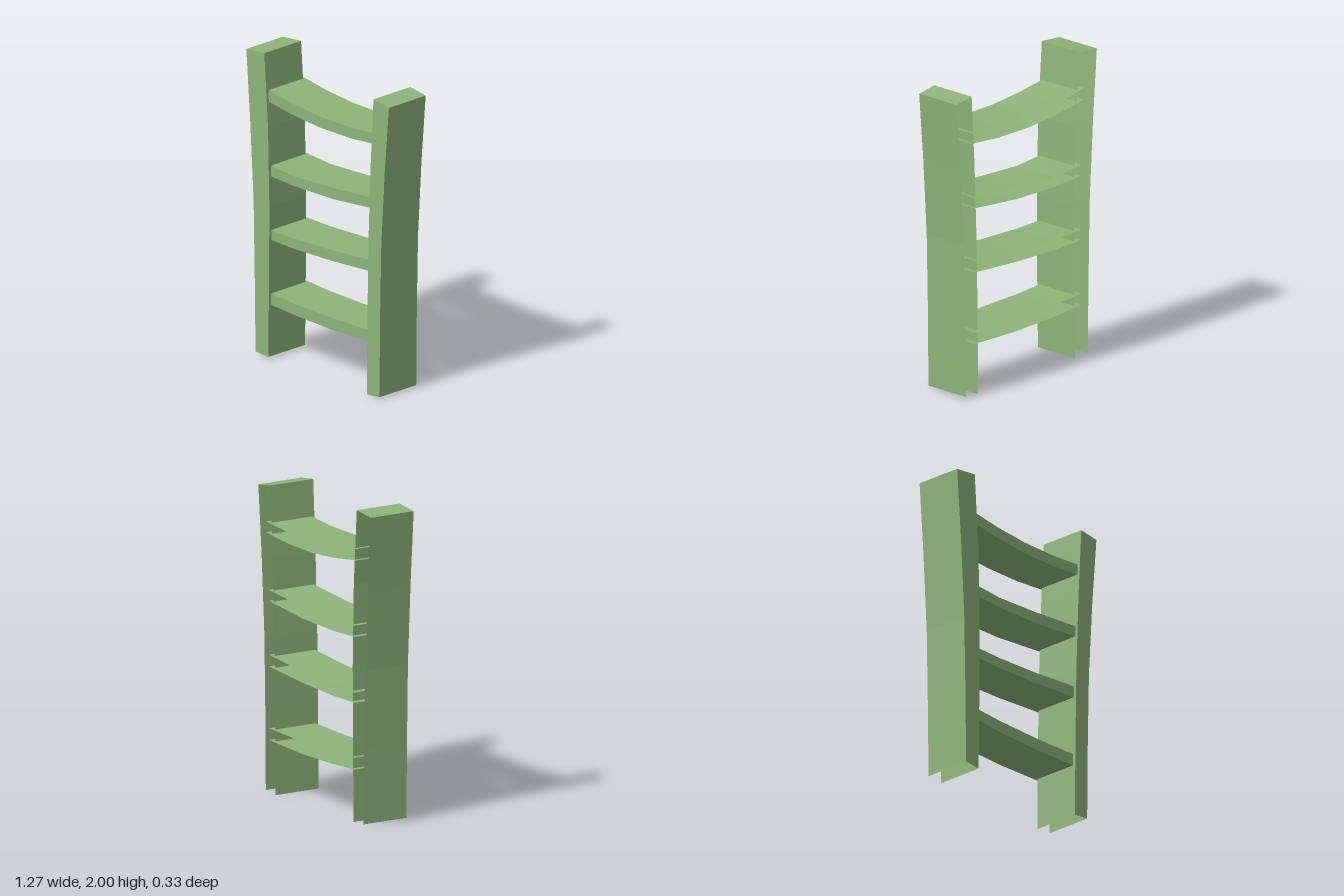
import * as THREE from 'three';

const material = new THREE.MeshStandardMaterial({
  color: 0x8fb47a, flatShading: true, side: THREE.DoubleSide,
});

// Joins equal open cross-sections with quads; optionally closes the last one.
function loft(name, sections, capEnd = false) {
  const n = sections[0].length;
  const index = [];
  for (let i = 0; i < sections.length - 1; i++) {
    for (let j = 0; j < n - 1; j++) {
      const a = i * n + j, b = a + 1, c = b + n, d = a + n;
      index.push(a, b, c, a, c, d);
    }
  }
  if (capEnd) {
    const s = (sections.length - 1) * n;
    index.push(s, s + 1, s + 2, s, s + 2, s + 3);
  }
  const indexed = new THREE.BufferGeometry();
  indexed.setAttribute('position', new THREE.Float32BufferAttribute(sections.flat(2), 3));
  indexed.setIndex(index);
  const geometry = indexed.toNonIndexed();
  geometry.computeVertexNormals();
  const mesh = new THREE.Mesh(geometry, material);
  mesh.name = name;
  return mesh;
}

// Post: front, two sides and a top; open at the back and underneath.
// Rows run upward as [x of -x edge, y, x of +x edge, y].
function post(name, rows) {
  const back = -0.15, front = 0.165;
  return loft(name, rows.map(([x0, y0, x1, y1]) => [
    [x0, y0, back], [x0, y0, front], [x1, y1, front], [x1, y1, back],
  ]), true);
}

// Rung: top, front and underside; open at the back and at both ends.
// Rows run along x as [x, top y, bottom y].
function rung(name, rows) {
  const back = -0.167, front = 0.147;
  return loft(name, rows.map(([x, top, bottom]) => [
    [x, top, back], [x, top, front], [x, bottom, front], [x, bottom, back],
  ]));
}

export function createModel() {
  const group = new THREE.Group();
  group.name = 'ladder';

  // Side posts, flaring outward and widening toward the top
  group.add(post('rightPost', [
    [-0.553, 0.02, -0.44, 0.012],
    [-0.56, 0.5, -0.433, 0.5],
    [-0.57, 1.0, -0.43, 1.0],
    [-0.6, 1.52, -0.442, 1.52],
    [-0.635, 1.985, -0.475, 2.0],
  ]));
  group.add(post('leftPost', [
    [0.437, 0.0, 0.548, 0.01],
    [0.441, 0.5, 0.553, 0.5],
    [0.45, 1.0, 0.564, 1.0],
    [0.469, 1.5, 0.595, 1.5],
    [0.495, 1.955, 0.632, 1.935],
  ]));

  // Sagging rungs, from the lowest up; their ends run inside the posts
  const rungs = [
    [[-0.48, 0.43, 0.356], [-0.23, 0.415, 0.34], [0.11, 0.41, 0.332], [0.49, 0.417, 0.343]],
    [[-0.48, 0.845, 0.78], [-0.23, 0.842, 0.774], [0.11, 0.855, 0.785], [0.49, 0.885, 0.81]],
    [[-0.48, 1.27, 1.198], [-0.23, 1.252, 1.187], [0.11, 1.267, 1.193], [0.49, 1.297, 1.228]],
    [[-0.505, 1.763, 1.69], [-0.25, 1.726, 1.653], [0, 1.706, 1.633], [0.27, 1.706, 1.635],
      [0.52, 1.725, 1.656]],
  ];
  rungs.forEach((rows, i) => group.add(rung(`rung${i + 1}`, rows)));

  return group;
}
